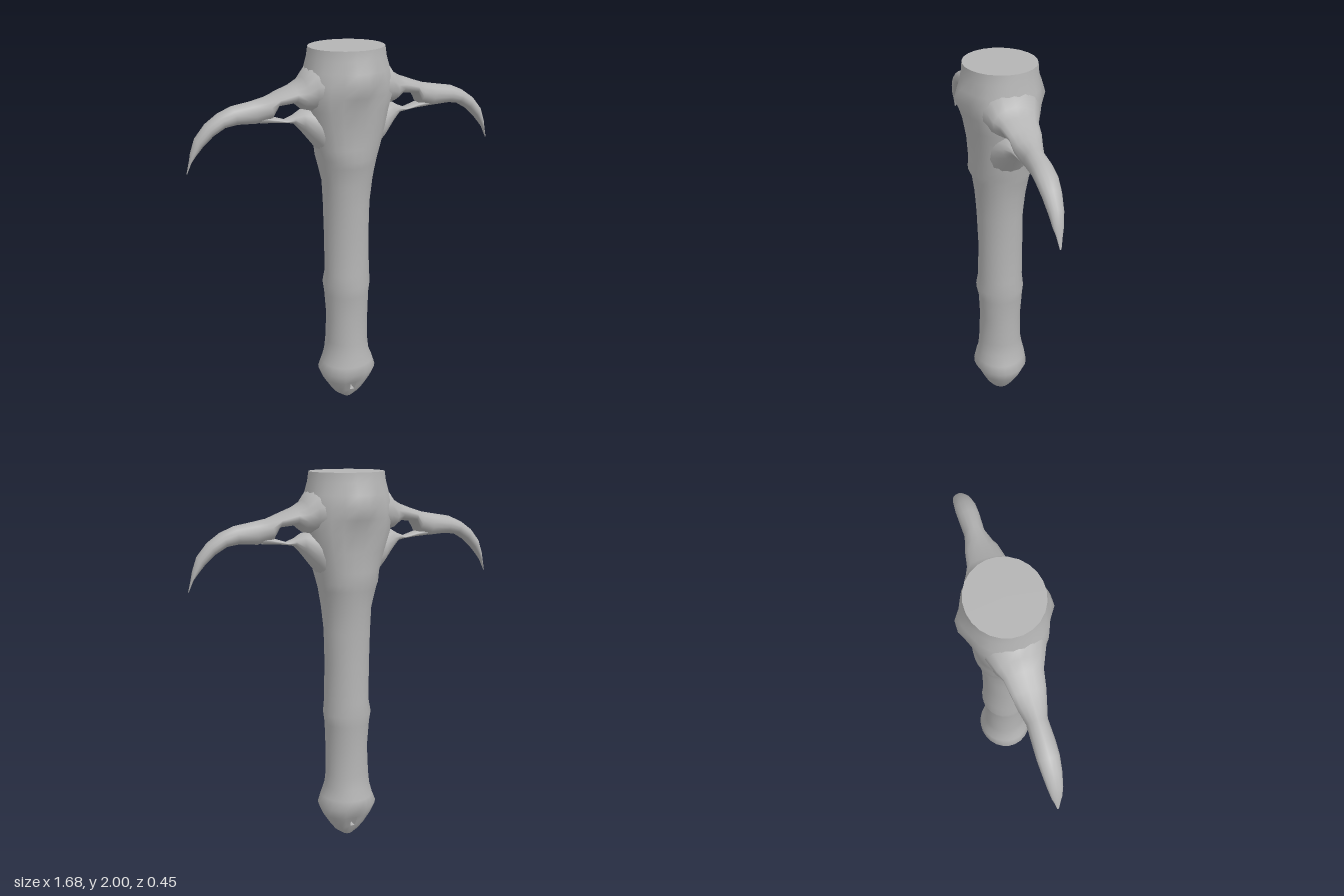
import * as THREE from 'three';

const SEG = 24;

// Skin a list of rings; rings run counter-clockwise about the direction of travel.
function loft(rings, { skip = () => false, capStart = false, capEnd = false } = {}) {
  const n = rings[0].length, pos = [], idx = [];
  rings.forEach(r => r.forEach(p => pos.push(p.x, p.y, p.z)));
  for (let i = 0; i < rings.length - 1; i++) {
    for (let j = 0; j < n; j++) {
      if (skip(i, j)) continue;
      const k = (j + 1) % n;
      const a = i * n + j, b = i * n + k, c = (i + 1) * n + k, d = (i + 1) * n + j;
      idx.push(a, b, c, a, c, d);
    }
  }
  // Caps own their vertices, so their rim stays sharp
  const cap = (ring, flip) => {
    const base = pos.length / 3;
    const mid = ring.reduce((s, p) => s.add(p), new THREE.Vector3()).divideScalar(n);
    [mid, ...ring].forEach(p => pos.push(p.x, p.y, p.z));
    for (let j = 0; j < n; j++) {
      const a = base + 1 + j, b = base + 1 + (j + 1) % n;
      if (flip) idx.push(base, b, a); else idx.push(base, a, b);
    }
  };
  if (capStart) cap(rings[0], true);
  if (capEnd) cap(rings[rings.length - 1], false);
  const g = new THREE.BufferGeometry();
  g.setAttribute('position', new THREE.Float32BufferAttribute(pos, 3));
  g.setIndex(idx);
  g.computeVertexNormals();
  return g;
}

// Height, half width, half depth, squareness, front/back ridge, pommel dent
const BODY = [
  [0.00, 0.03, 0.035, 2, 0, 0],
  [0.03, 0.07, 0.06, 2, 0, 0],
  [0.07, 0.10, 0.09, 2, 0, 0.12],
  [0.13, 0.138, 0.122, 2, 0, 0.15],
  [0.19, 0.163, 0.15, 2, 0, 0],
  [0.24, 0.145, 0.14, 2, 0, 0],
  [0.30, 0.125, 0.127, 2, 0, 0],
  [0.37, 0.118, 0.117, 2, 0, 0],
  [0.52, 0.115, 0.113, 2, 0, 0],
  [0.66, 0.122, 0.12, 2, 0, 0],
  [0.72, 0.13, 0.13, 2, 0, 0],
  [0.79, 0.121, 0.12, 2, 0, 0],
  [1.00, 0.12, 0.118, 2, 0, 0],
  [1.18, 0.124, 0.122, 2, 0, 0],
  [1.30, 0.133, 0.133, 2, 0, 0],
  [1.40, 0.152, 0.146, 2.1, 0, 0],
  [1.44, 0.16, 0.16, 2.2, 0, 0],
  [1.50, 0.172, 0.157, 2.3, 0, 0],
  [1.60, 0.195, 0.163, 2.5, 0, 0],
  [1.70, 0.215, 0.172, 2.8, 0.005, 0],
  [1.77, 0.225, 0.182, 2.8, 0.03, 0],
  [1.83, 0.225, 0.19, 2.6, 0.05, 0],
  [1.89, 0.215, 0.192, 2.3, 0.022, 0],
  [1.95, 0.203, 0.187, 2, 0, 0],
  [2.00, 0.195, 0.183, 2, 0, 0],
];

function bodyRing([y, rx, rz, e, ridge, dent], i) {
  return Array.from({ length: SEG }, (_, j) => {
    const a = (j - 0.5) * Math.PI * 2 / SEG;
    const s = Math.sin(a), c = Math.cos(a);
    const f = Math.pow(Math.abs(s) ** e + Math.abs(c) ** e, -1 / e);
    const near = Math.exp(-((s / 0.22) ** 2));
    // Slight hand-worn unevenness along the grip
    const wear = y > 0.2 && y < 1.8 ? 1 + 0.018 * Math.sin(3 * a + i * 2.1) : 1;
    const z = rz * c * f * wear * (1 - dent * near) + Math.sign(c) * ridge * near;
    return new THREE.Vector3(rx * s * f * wear, y, z);
  });
}

// Arm sections: top x, top y, bottom x, bottom y, half depth
const ARM = [
  [0.10, 1.94, 0.10, 1.69, 0.17],
  [0.20, 1.92, 0.20, 1.69, 0.135],
  [0.24, 1.86, 0.25, 1.705, 0.115],
  [0.29, 1.83, 0.29, 1.74, 0.095],
  [0.37, 1.80, 0.38, 1.732, 0.08],
  [0.43, 1.78, 0.40, 1.675, 0.07],
  [0.50, 1.767, 0.48, 1.652, 0.05],
  [0.60, 1.75, 0.58, 1.658, 0.053],
  [0.67, 1.72, 0.64, 1.65, 0.053],
  [0.735, 1.675, 0.70, 1.615, 0.046],
  [0.79, 1.61, 0.755, 1.565, 0.036],
  [0.815, 1.54, 0.79, 1.525, 0.026],
  [0.824, 1.50, 0.812, 1.497, 0.016],
  [0.84, 1.44, 0.837, 1.44, 0.004],
];

// Thin brace that closes the opening below each arm
const BRACE = [
  [0.08, 1.70, 0.12, 1.43, 0.12],
  [0.19, 1.71, 0.185, 1.51, 0.10],
  [0.245, 1.70, 0.245, 1.585, 0.065],
  [0.285, 1.675, 0.29, 1.635, 0.04],
  [0.33, 1.657, 0.33, 1.643, 0.03],
  [0.40, 1.68, 0.39, 1.649, 0.035],
  [0.46, 1.70, 0.46, 1.652, 0.035],
];

function sideRings(sections, side) {
  return sections.map(([tx, ty, bx, by, hz]) => Array.from({ length: 14 }, (_, j) => {
    const a = j * Math.PI * 2 / 14, t = (1 - Math.cos(a)) / 2;
    return new THREE.Vector3(side * (tx + (bx - tx) * t), ty + (by - ty) * t, side * hz * Math.sin(a));
  }));
}

export function createModel() {
  const model = new THREE.Group();
  model.name = 'hilt';
  const metal = new THREE.MeshStandardMaterial({ color: 0xb4b4b4 });
  metal.name = 'plain grey';
  const add = (name, geometry) => {
    const mesh = new THREE.Mesh(geometry, metal);
    mesh.name = name;
    model.add(mesh);
  };

  // Pommel, grip and collar in one skin, with an eyelet left open front and back
  const rings = BODY.map(bodyRing);
  const back = SEG / 2;
  add('gripAndCollar', loft(rings, {
    skip: (i, j) => i === 2 && (j === 0 || j === back),
    capStart: true, capEnd: true,
  }));

  // Walls of the eyelet, facing inward
  const [lo, hi] = [rings[2], rings[3]];
  const front = [lo[0], hi[0], hi[1], lo[1]];
  const rear = [lo[back + 1], hi[back + 1], hi[back], lo[back]];
  add('pommelEyelet', loft([rear, front]).toNonIndexed());
  model.children[1].geometry.computeVertexNormals();

  // Curved guard arms with their braces
  for (const side of [1, -1]) {
    const label = side > 0 ? 'left' : 'right';
    add(label + 'GuardArm', loft(sideRings(ARM, side), { capStart: true, capEnd: true }));
    add(label + 'GuardBrace', loft(sideRings(BRACE, side), { capStart: true, capEnd: true }));
  }
  return model;
}
